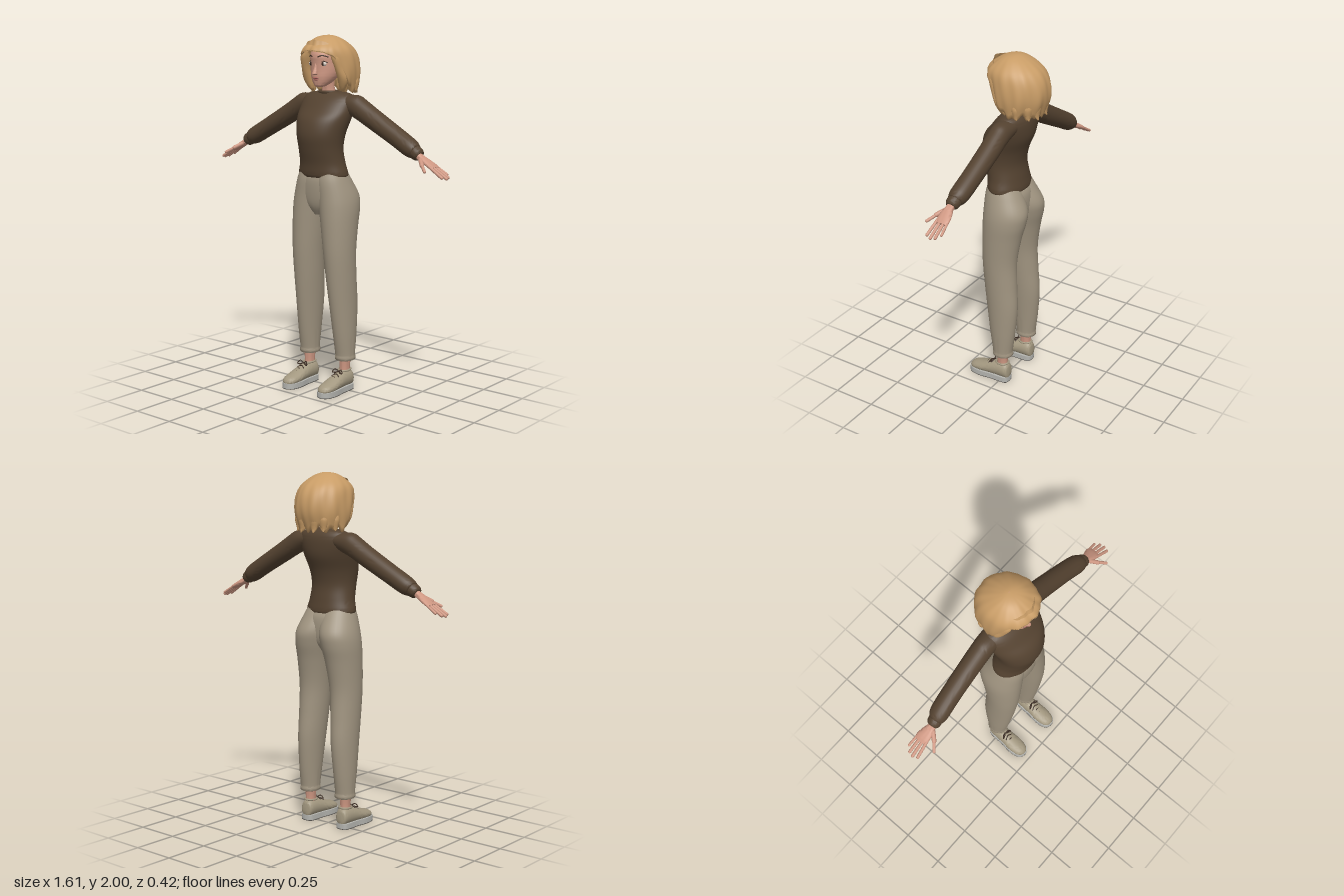
import * as THREE from 'three';
import { toCreasedNormals } from 'three/addons/utils/BufferGeometryUtils.js';

const V = (x, y, z) => new THREE.Vector3(x, y, z);
const X = V(1, 0, 0), Y = V(0, 1, 0), Z = V(0, 0, 1);
const mat = (name, color, side = THREE.FrontSide) =>
  Object.assign(new THREE.MeshStandardMaterial({ color, side }), { name });

// Skins closed rows of points into a smooth tube with closed ends
function skin(rows, capped = true) {
  const n = rows[0].length, pos = [], idx = [];
  rows.forEach(r => r.forEach(p => pos.push(p.x, p.y, p.z)));
  for (let i = 0; i < rows.length - 1; i++) for (let j = 0; j < n; j++) {
    const a = i * n + j, b = i * n + (j + 1) % n;
    idx.push(a, a + n, b, b, a + n, b + n);
  }
  if (capped) [0, rows.length - 1].forEach((r, end) => {
    const c = rows[r].reduce((s, p) => s.add(p), V(0, 0, 0)).divideScalar(n);
    const k = pos.push(c.x, c.y, c.z) / 3 - 1;
    for (let j = 0; j < n; j++) {
      const a = r * n + j, b = r * n + (j + 1) % n;
      end ? idx.push(k, b, a) : idx.push(k, a, b);
    }
  });
  const g = new THREE.BufferGeometry();
  g.setAttribute('position', new THREE.Float32BufferAttribute(pos, 3));
  g.setIndex(idx);
  g.computeVertexNormals();
  return g;
}

// Smooth loft through rings [x, y, z, radius along u, radius along v]
function loft(rings, u = X, v = Z, seg = 32, sub = 5) {
  const c = new THREE.CatmullRomCurve3(rings.map(r => V(r[0], r[1], r[2])), false, 'catmullrom');
  const s = new THREE.CatmullRomCurve3(rings.map(r => V(r[3], r[4], 0)), false, 'catmullrom');
  const steps = (rings.length - 1) * sub, rows = [];
  for (let i = 0; i <= steps; i++) {
    const p = c.getPoint(i / steps), r = s.getPoint(i / steps);
    rows.push(Array.from({ length: seg }, (_, j) => {
      const a = j / seg * Math.PI * 2;
      return p.clone().addScaledVector(u, r.x * Math.cos(a)).addScaledVector(v, r.y * Math.sin(a));
    }));
  }
  return toCreasedNormals(skin(rows), 1.0);
}

const tube = (pts, r, n = 16) =>
  new THREE.TubeGeometry(new THREE.CatmullRomCurve3(pts.map(p => V(...p))), n, r, 6);

// Hair shell: open over the face, falling to a ragged edge at the neck
function hairGeometry() {
  const shape = new THREE.CatmullRomCurve3([
    [0, -.02, -.02], [.055, .04, -.06], [.1, .09, -.115], [.14, .138, -.17],
    [.156, .14, -.2], [.157, .125, -.203], [.138, .1, -.17]].map(p => V(...p)), false, 'catmullrom');
  const edge = [[0, 1.915], [30, 1.905], [50, 1.885], [66, 1.8], [80, 1.72], [95, 1.695], [181, 1.69]];
  const edgeY = (phi, a) => {
    const k = edge.findIndex(e => e[0] > phi), [p, q] = [edge[k - 1], edge[k]];
    const back = THREE.MathUtils.smoothstep(phi, 60, 100);
    return THREE.MathUtils.mapLinear(phi, p[0], q[0], p[1], q[1]) +
      back * (.012 * Math.sin(a * 17) + .01 * Math.sin(a * 9 + 1));
  };
  const row = (s, inset = 1, lift = 0) => Array.from({ length: 96 }, (_, j) => {
    const a = j / 96 * Math.PI * 2, phi = Math.acos(Math.sin(a)) * 180 / Math.PI;
    const y = 2 - (2 - edgeY(phi, a)) * s * s;
    const p = shape.getPoint(Math.min(1, Math.sqrt(2 - y) / .57));
    const k = inset * (1 + s * (.02 * Math.sin(a * 9 + y * 14) + .014 * Math.sin(a * 17 - y * 9)));
    return V(p.x * k * Math.cos(a), y + lift, (p.y + p.z) / 2 + (p.y - p.z) / 2 * k * Math.sin(a));
  });
  const rows = [row(1, .78, .06), row(1, .88, .015)];
  for (let i = 24; i >= 0; i--) rows.push(row(Math.max(i / 24, .01)));
  return skin(rows, false);
}

export function createModel() {
  const M = {
    skin: mat('skin', 0xcf9883), hair: mat('hair', 0xc89c66, THREE.DoubleSide),
    sweater: mat('sweater brown', 0x544230), pants: mat('trouser khaki', 0xa09480),
    shoe: mat('shoe beige', 0xa39880), sole: mat('sole grey', 0xb5b5b0),
    dark: mat('dark grey', 0x55524e), lace: mat('dark brown', 0x3e2e24),
    lips: mat('lips', 0xab665f), white: mat('eye white', 0xddd2c8),
  };
  const model = new THREE.Group();
  const add = (parent, name, geo, m, pos, scale) => {
    const o = new THREE.Mesh(geo, m);
    o.name = name;
    if (pos) o.position.set(...pos);
    if (scale) o.scale.set(...scale);
    parent.add(o);
    return o;
  };
  const half = new THREE.Group();
  half.name = 'leftSide';
  const ball = new THREE.SphereGeometry(1, 20, 14);

  // Sweater body and collar
  add(model, 'sweaterBody', loft([
    [0, 1.218, .025, .146, .098], [0, 1.24, .027, .156, .106], [0, 1.3, .035, .14, .105],
    [0, 1.38, .05, .134, .11], [0, 1.46, .049, .144, .124], [0, 1.54, .024, .162, .13],
    [0, 1.6, -.004, .172, .11], [0, 1.65, -.022, .17, .088], [0, 1.68, -.03, .14, .064],
    [0, 1.692, -.025, .068, .05]], X, Z, 48), M.sweater);
  add(model, 'collar', new THREE.TorusGeometry(.056, .009, 8, 36).rotateX(Math.PI / 2),
    M.sweater, [0, 1.688, -.018], [1, 1, .85]);

  // Sleeve and cuff
  const tilt = .49, across = V(Math.sin(tilt), Math.cos(tilt), 0);
  add(half, 'sleeve', loft([
    [.1, 1.632, -.032, .06, .05], [.17, 1.62, -.032, .058, .062], [.22, 1.597, -.032, .057, .059],
    [.3, 1.552, -.032, .056, .056], [.45, 1.471, -.028, .054, .052], [.55, 1.416, -.022, .053, .05],
    [.585, 1.397, -.018, .043, .042], [.59, 1.394, -.017, .036, .036]], Z, across), M.sweater);
  add(half, 'cuff', loft([
    [.575, 1.402, -.017, .034, .034], [.585, 1.397, -.017, .039, .038], [.61, 1.383, -.015, .037, .036],
    [.622, 1.377, -.015, .03, .028]], Z, across), M.sweater);

  // Hand with fingers along its own x axis
  const hand = new THREE.Group();
  hand.name = 'hand';
  hand.position.set(.6, 1.384, -.012);
  hand.rotation.z = -.51;
  half.add(hand);
  add(hand, 'palm', loft([
    [0, 0, 0, .023, .02], [.035, 0, 0, .024, .018], [.07, 0, -.002, .034, .016],
    [.11, 0, -.006, .039, .013], [.135, 0, -.007, .034, .008]], Z, Y, 20), M.skin);
  const finger = (name, a, b, r) => {
    const A = V(...a), d = V(...b).sub(A);
    const f = add(hand, name, new THREE.CapsuleGeometry(r, d.length() - 2 * r, 5, 10), M.skin,
      A.clone().addScaledVector(d, .5).toArray());
    f.quaternion.setFromUnitVectors(Y, d.normalize());
  };
  [[.024, .034, .222], [.004, .006, .235], [-.016, -.02, .227], [-.034, -.044, .2]].forEach(([z0, z1, tip], i) =>
    finger('finger' + (i + 1), [.1, 0, z0], [tip, -.004, z1], i === 3 ? .007 : .0085));
  finger('thumb', [.04, -.002, .012], [.098, -.008, .062], .012);
  finger('thumbTip', [.085, -.007, .05], [.142, -.012, .09], .0085);

  // Trousers
  add(model, 'trouserFront', loft([
    [0, 1.01, .02, .04, .07], [0, 1.06, .016, .12, .1], [0, 1.12, .016, .165, .111],
    [0, 1.2, .02, .155, .11], [0, 1.25, .028, .14, .09]]), M.pants);
  add(half, 'trouserLeg', loft([
    [.13, .176, -.008, .044, .05], [.13, .182, -.008, .056, .061], [.13, .2, -.007, .056, .062],
    [.13, .212, -.007, .054, .06], [.128, .33, -.005, .06, .077], [.122, .5, 0, .069, .095],
    [.117, .65, .013, .077, .099], [.112, .8, .022, .085, .103], [.103, .95, .013, .097, .116],
    [.094, 1.05, .001, .106, .128], [.084, 1.12, -.001, .106, .129], [.068, 1.2, .018, .096, .109],
    [.06, 1.25, .028, .085, .09]]), M.pants);

  // Ankle
  add(half, 'ankle', loft([[.13, .08, -.005, .03, .036], [.13, .13, -.004, .027, .032],
    [.13, .22, -.006, .036, .04]], X, Z, 20), M.skin);

  // Shoe upper, sole and tread
  add(half, 'shoeUpper', loft([
    [.13, .055, -.052, .025, .018], [.13, .065, -.045, .046, .034], [.13, .071, -.02, .051, .041],
    [.13, .069, .03, .049, .043], [.13, .061, .08, .041, .046], [.13, .051, .13, .032, .049],
    [.13, .043, .18, .025, .042], [.13, .038, .203, .017, .027], [.13, .036, .212, .006, .01]],
    Y, X, 28), M.shoe);
  const outline = new THREE.Shape(new THREE.SplineCurve([
    [0, -.054], [.034, -.044], [.041, 0], [.043, .06], [.051, .125], [.044, .185], [.018, .213],
    [-.018, .213], [-.044, .185], [-.051, .125], [-.043, .06], [-.041, 0], [-.034, -.044], [0, -.054],
  ].map(p => new THREE.Vector2(...p))).getPoints(56));
  const slab = depth => new THREE.ExtrudeGeometry(outline, { depth, bevelEnabled: false })
    .rotateX(Math.PI / 2).translate(.13, depth, 0);
  add(half, 'shoeSole', toCreasedNormals(slab(.029), .7), M.sole, [0, .004, 0]);
  add(half, 'shoeTread', slab(.004), M.dark);

  // Laces with a bow, and the dark shoe opening
  [[.05, .118], [.072, .107], [.094, .095], [.115, .085]].forEach(([z, y]) =>
    add(half, 'lace', tube([[.104, y - .013, z + .008], [.13, y, z], [.156, y - .013, z + .008]], .0035), M.lace));
  for (const s of [-1, 1]) add(half, 'laceBow', tube([[.13, .118, .05], [.13 + s * .022, .13, .056],
    [.13 + s * .035, .112, .066], [.13 + s * .015, .112, .06], [.13, .118, .05]], .003, 24), M.lace);
  add(half, 'shoeOpening', new THREE.TorusGeometry(.033, .006, 8, 28).rotateX(Math.PI / 2 + .06),
    M.shoe, [.13, .119, -.002], [.95, 1, 1.15]);

  // Neck and head
  add(model, 'neck', loft([[0, 1.66, -.022, .05, .045], [0, 1.7, -.016, .037, .036],
    [0, 1.78, -.006, .036, .038]], X, Z, 24), M.skin);
  add(model, 'head', loft([
    [0, 1.717, .062, .01, .012], [0, 1.723, .054, .03, .032], [0, 1.745, .034, .053, .058],
    [0, 1.775, .014, .072, .082], [0, 1.81, 0, .083, .095], [0, 1.85, -.01, .087, .107],
    [0, 1.89, -.014, .087, .114], [0, 1.93, -.02, .075, .1], [0, 1.96, -.02, .045, .06],
    [0, 1.968, -.02, .01, .015]], X, Z, 40), M.skin);
  add(model, 'nose', loft([[0, 1.783, .093, .006, .006], [0, 1.79, .1, .014, .018],
    [0, 1.8, .098, .012, .017], [0, 1.825, .093, .008, .01], [0, 1.85, .09, .006, .006]], X, Z, 16), M.skin);
  add(model, 'upperLip', ball, M.lips, [0, 1.768, .094], [.021, .005, .008]);
  add(model, 'lowerLip', ball, M.lips, [0, 1.759, .089], [.017, .006, .009]);

  // Eye, lashes, brow and ear
  add(half, 'eyeWhite', ball, M.white, [.042, 1.845, .077], [.02, .0125, .01]);
  add(half, 'iris', ball, M.lace, [.041, 1.845, .081], [.0115, .0115, .008]);
  add(half, 'lashes', tube([[.02, 1.846, .086], [.031, 1.857, .086], [.045, 1.859, .082],
    [.064, 1.85, .068]], .003), M.lace);
  add(half, 'brow', tube([[.017, 1.881, .1], [.04, 1.89, .09], [.066, 1.881, .063]], .003), M.lace);
  add(half, 'ear', ball, M.skin, [.086, 1.825, -.01], [.01, .026, .017]);

  // Hair shell with loose locks beside the face and at the nape
  add(model, 'hair', hairGeometry(), M.hair);
  add(half, 'sideLock', loft([
    [.108, 1.69, -.01, .004, .004], [.112, 1.71, -.002, .018, .016], [.122, 1.76, .008, .03, .03],
    [.118, 1.82, .03, .024, .034], [.108, 1.88, .055, .022, .03], [.095, 1.915, .07, .01, .01]], X, Z, 16), M.hair);
  [[.04, -.165], [.085, -.14], [.12, -.09]].forEach(([x, z], i) => add(half, 'napeLock', loft([
    [x * 1.1, 1.675 + .006 * i, z * 1.08, .003, .003], [x, 1.7, z, .02, .016],
    [x, 1.75, z, .03, .025], [x * .95, 1.8, z * .95, .02, .02]], X, Z, 14), M.hair));

  // Mirror the paired parts
  const other = half.clone();
  other.name = 'rightSide';
  other.scale.x = -1;
  model.add(half, other);
  return model;
}
